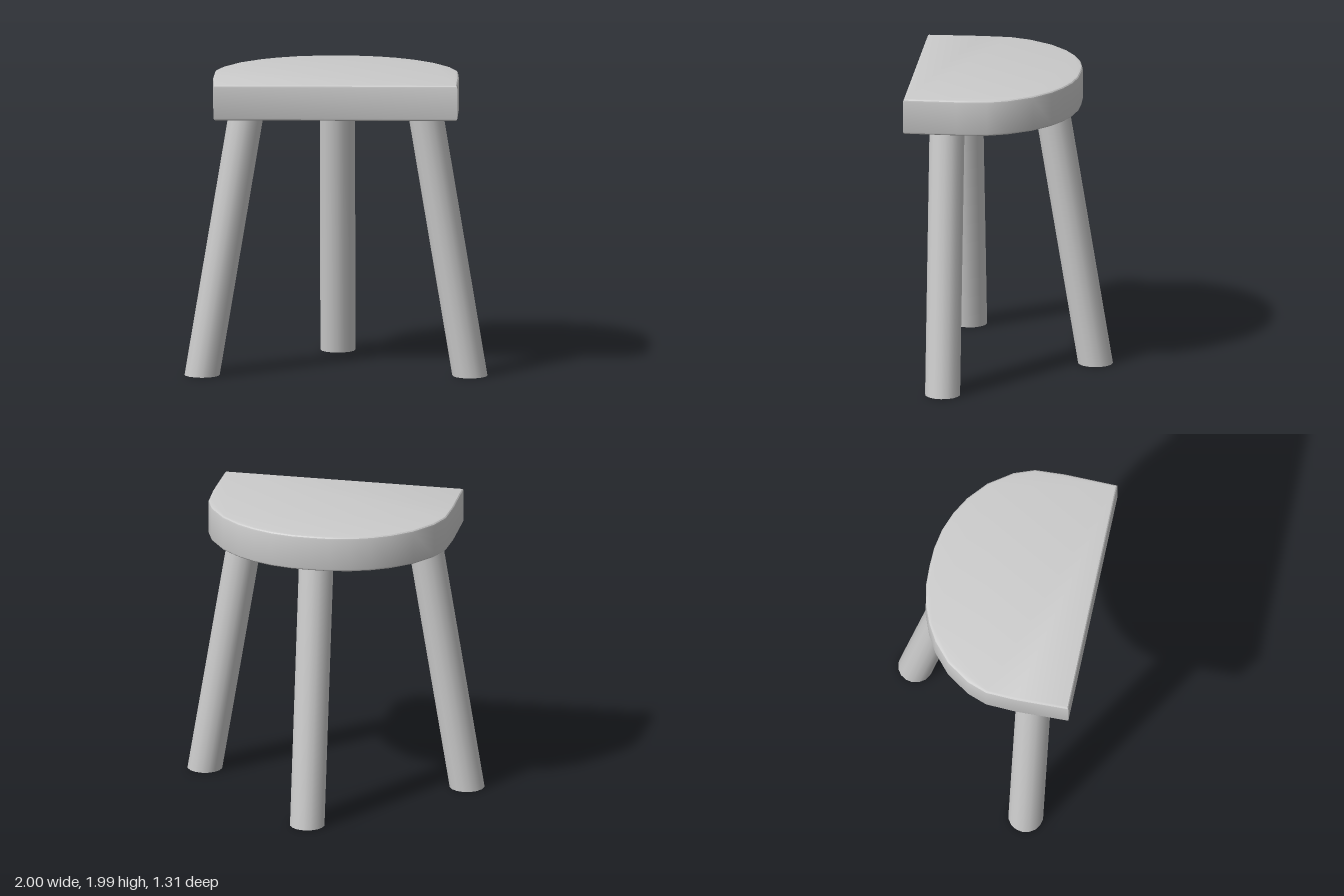
import * as THREE from 'three';
import { toCreasedNormals } from 'three/addons/utils/BufferGeometryUtils.js';

const material = new THREE.MeshStandardMaterial({ color: 0xcccccc });
const SEAT_BOTTOM = 1.75, SEAT_TOP = 1.99, BEVEL = 0.018;

// D-shaped slab: straight front edge, rounded back
function createSeat() {
  // right half of the outline as [x, z], front corner to back
  const half = [
    [0.803, 0.655], [0.81, 0.3], [0.8, 0.1], [0.75, -0.035], [0.642, -0.19],
    [0.514, -0.3], [0.396, -0.367], [0.268, -0.415], [0.128, -0.441],
  ];
  const mirrored = half.map(([x, z]) => [-x, z]).reverse();
  const outline = [...half, [0, -0.445], ...mirrored];
  const shape = new THREE.Shape(outline.map(([x, z]) => new THREE.Vector2(x, -z)));
  const geometry = new THREE.ExtrudeGeometry(shape, {
    depth: SEAT_TOP - SEAT_BOTTOM - 2 * BEVEL,
    bevelSize: BEVEL, bevelThickness: BEVEL, bevelOffset: -BEVEL, bevelSegments: 3,
  });
  geometry.rotateX(-Math.PI / 2);
  geometry.translate(0, SEAT_BOTTOM + BEVEL, 0);
  const seat = new THREE.Mesh(toCreasedNormals(geometry, 0.5), material);
  seat.name = 'seat';
  return seat;
}

// Splayed round leg, cut level at the floor and let slightly into the seat
function createLeg(name, x, z, angle) {
  const height = SEAT_BOTTOM + 0.02, slope = 0.166;
  const geometry = new THREE.CylinderGeometry(0.116, 0.116, height, 16);
  geometry.translate(0, height / 2, 0);
  // lean inward towards the top, along local -x
  const lean = new THREE.Matrix4().set(
    1, -slope, 0, 0,
    0, 1, 0, 0,
    0, 0, 1, 0,
    0, 0, 0, 1,
  );
  geometry.applyMatrix4(lean);
  const leg = new THREE.Mesh(geometry, material);
  leg.name = name;
  leg.position.set(x, 0, z);
  leg.rotation.y = angle;
  return leg;
}

export function createModel() {
  const stool = new THREE.Group();
  stool.name = 'stool';
  stool.add(
    createSeat(),
    createLeg('leftLeg', 0.882, 0.385, 0),
    createLeg('rightLeg', -0.882, 0.385, Math.PI),
    createLeg('backLeg', 0, -0.538, Math.PI / 2),
  );
  return stool;
}
